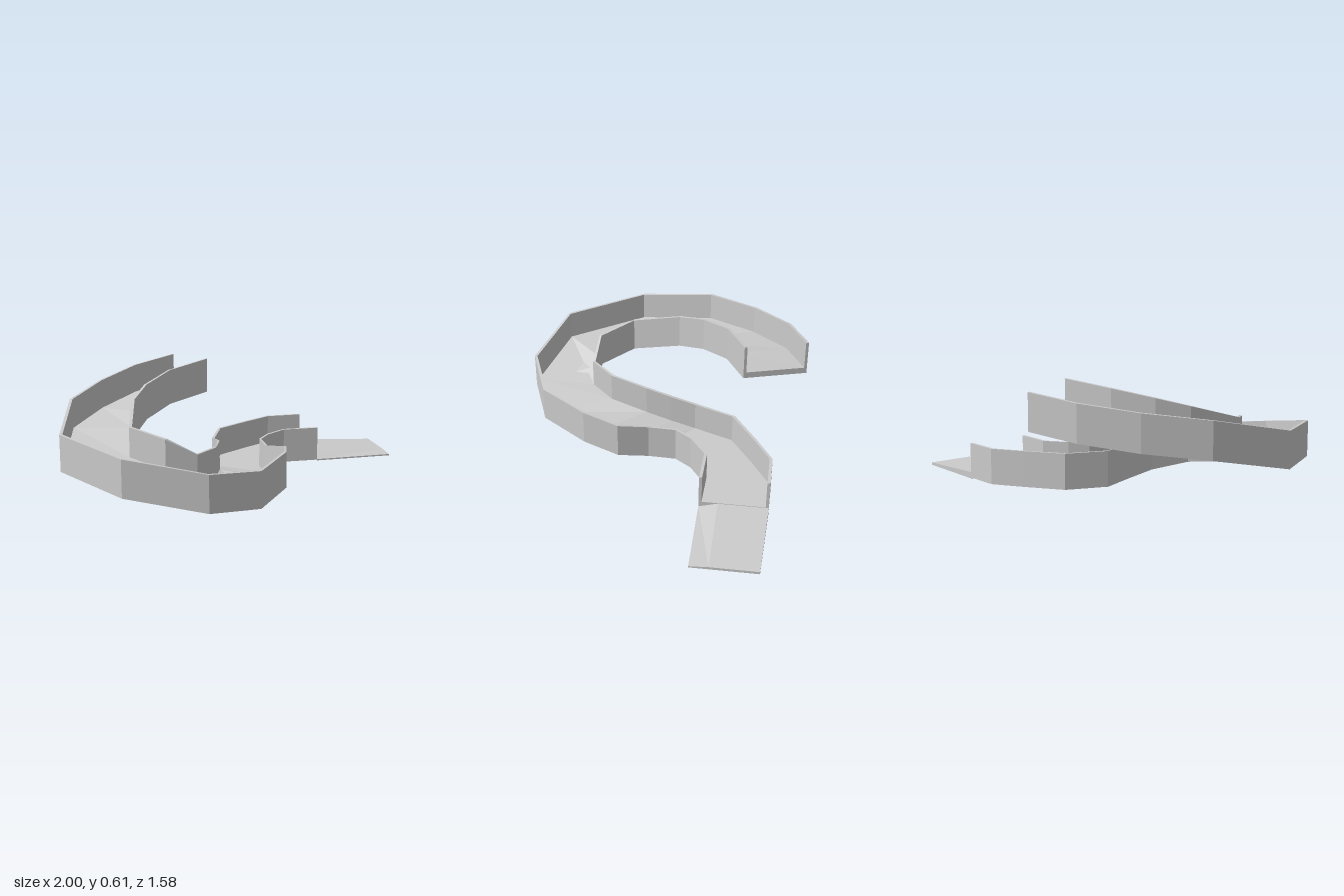
import * as THREE from 'three';

const material = new THREE.MeshStandardMaterial({ color: 0xcccccc, flatShading: true, side: THREE.DoubleSide });

// Stations down the chute: outer x, z, top y, then inner x, z, top y
const stations = [
  [-0.22, -0.79, 0.585, -0.08, -0.45, 0.61],
  [-0.47, -0.685, 0.55, -0.32, -0.34, 0.575],
  [-0.70, -0.48, 0.51, -0.48, -0.19, 0.53],
  [-0.90, -0.20, 0.47, -0.57, -0.04, 0.485],
  [-1.00, 0.235, 0.385, -0.63, 0.24, 0.405],
  [-0.75, 0.66, 0.355, -0.48, 0.41, 0.375],
  [-0.35, 0.785, 0.285, -0.33, 0.42, 0.29],
  [-0.06, 0.67, 0.25, -0.21, 0.29, 0.285],
  [0.15, 0.40, 0.262, -0.145, 0.08, 0.26],
  [0.21, 0.20, 0.235, -0.125, -0.06, 0.23],
  [0.15, 0.04, 0.2, -0.11, -0.20, 0.2],
  [0.155, -0.11, 0.2, -0.02, -0.42, 0.2],
  [0.22, -0.20, 0.2, 0.18, -0.55, 0.2],
  [0.34, -0.285, 0.2, 0.34, -0.645, 0.2],
  [0.545, -0.28, 0.2, 0.545, -0.645, 0.2],
];
const WALL_H = 0.195, WALL_T = 0.016, FLOOR_T = 0.035;

// U-shaped section: outer wall, floor, inner wall
function channelSection([ox, oz, oy, ix, iz, iy]) {
  const w = Math.hypot(ix - ox, iz - oz);
  const at = (t, h) => [
    ox + (ix - ox) * t,
    Math.max(0, oy + (iy - oy) * t - WALL_H + h),
    oz + (iz - oz) * t,
  ];
  const t = WALL_T / w;
  return [
    at(0, 0), at(0, WALL_H), at(t, WALL_H), at(t, FLOOR_T),
    at(1 - t, FLOOR_T), at(1 - t, WALL_H), at(1, WALL_H), at(1, 0),
  ];
}

// Skin closed sections into a solid; caps lists the quads that fill an end
function loft(name, sections, caps) {
  const pos = [];
  const quad = (a, b, c, d) => pos.push(...a, ...b, ...c, ...a, ...c, ...d);
  for (let i = 0; i < sections.length - 1; i++) {
    const s = sections[i], e = sections[i + 1], n = s.length;
    for (let j = 0; j < n; j++) {
      const k = (j + 1) % n;
      quad(s[j], e[j], e[k], s[k]);
    }
  }
  const first = sections[0], last = sections[sections.length - 1];
  for (const c of caps) {
    quad(...c.map((i) => first[i]));
    quad(...[...c].reverse().map((i) => last[i]));
  }
  const geometry = new THREE.BufferGeometry();
  geometry.setAttribute('position', new THREE.Float32BufferAttribute(pos, 3));
  geometry.computeVertexNormals();
  const mesh = new THREE.Mesh(geometry, material);
  mesh.name = name;
  return mesh;
}

export function createModel() {
  const model = new THREE.Group();
  model.name = 'curvedSlide';

  // Winding walled channel
  model.add(loft('channel', stations.map(channelSection), [[0, 1, 2, 3], [0, 3, 4, 7], [7, 4, 5, 6]]));

  // Open run-out ramp, thinning towards its tip, with a sloped front edge
  const rampSection = (x, back, top) => [
    [x, 0, -0.28], [x, 0.008, -0.28], [x, top, -0.38], [x, top, back], [x, 0, back],
  ];
  model.add(loft('runOutRamp',
    [rampSection(0.545, -0.645, 0.037), rampSection(1, -0.63, 0.014)],
    [[0, 1, 2, 2], [0, 2, 3, 4]]));
  return model;
}
